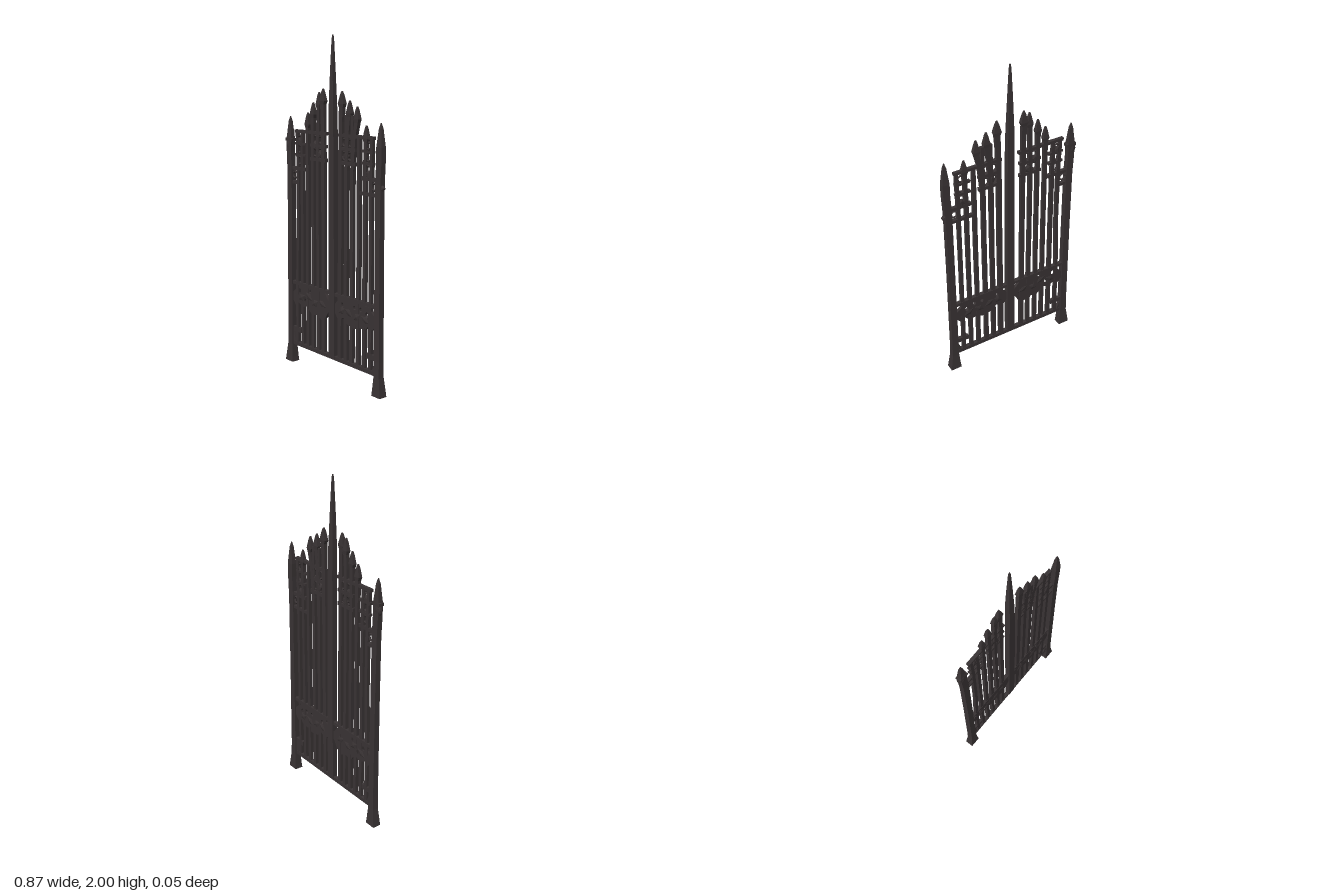
import * as THREE from 'three';

const iron = new THREE.MeshStandardMaterial({ color: 0x393334, flatShading: true });
iron.name = 'dark iron';

// Square-section loft; each row is [y, centreX, halfWidth, halfDepth]
function loft(rows) {
  const pos = [], idx = [], n = rows.length;
  for (const [y, x, w, d] of rows) pos.push(x - w, y, d, x + w, y, d, x + w, y, -d, x - w, y, -d);
  for (let r = 0; r < n - 1; r++) {
    for (let i = 0; i < 4; i++) {
      const a = r * 4 + i, b = r * 4 + (i + 1) % 4;
      idx.push(a, b, b + 4, a, b + 4, a + 4);
    }
  }
  const t = (n - 1) * 4;
  idx.push(0, 2, 1, 0, 3, 2, t, t + 1, t + 2, t, t + 2, t + 3);
  const g = new THREE.BufferGeometry();
  g.setAttribute('position', new THREE.Float32BufferAttribute(pos, 3));
  g.setIndex(idx);
  g.computeVertexNormals();
  return g;
}

export function createModel() {
  const gate = new THREE.Group();
  gate.name = 'gate';
  const add = (name, geo, x = 0, y = 0, z = 0) => {
    const m = new THREE.Mesh(geo, iron);
    m.name = name;
    m.position.set(x, y, z);
    gate.add(m);
    return m;
  };
  const rail = (name, x0, x1, y, h, d = 0.02) =>
    add(name, new THREE.BoxGeometry(x1 - x0, h, d), (x0 + x1) / 2, y);

  // Outer posts with flared feet and spear tips
  for (const s of [-1, 1]) {
    add('outerPost', loft([
      [0, s * 0.4, 0.035, 0.026], [0.03, s * 0.4, 0.031, 0.024], [0.11, s * 0.397, 0.022, 0.019],
      [0.2, s * 0.396, 0.021, 0.018], [0.8, s * 0.394, 0.02, 0.017], [1.2, s * 0.394, 0.021, 0.016],
      [1.32, s * 0.4, 0.021, 0.016], [1.4, s * 0.4, 0.021, 0.016], [1.43, s * 0.4, 0.018, 0.013],
      [1.5, s * 0.4, 0.01, 0.008], [1.53, s * 0.4, 0.002, 0.002]]));
  }
  add('hingeKnob', new THREE.IcosahedronGeometry(0.03, 1), -0.408, 1.36).scale.set(0.9, 1.3, 0.65);
  rail('hingeCap', -0.43, -0.37, 1.39, 0.018, 0.034);
  add('hingeKnob', new THREE.IcosahedronGeometry(0.018, 0), 0.416, 1.18).scale.z = 0.8;

  // Tall central spire
  add('centrePost', loft([
    [0.12, 0, 0.026, 0.016], [0.8, 0.001, 0.025, 0.017], [1.45, 0, 0.021, 0.017],
    [1.6, -0.002, 0.019, 0.016], [1.8, -0.003, 0.012, 0.011], [1.97, -0.003, 0.006, 0.005],
    [2, -0.003, 0.003, 0.003]]));

  // Upright bars: [bottomX, middleX, topX, halfWidth, topY, spear tip]
  const bars = [
    [-0.335, -0.322, -0.33, 0.011, 1.45, 0], [-0.283, -0.281, -0.283, 0.012, 1.45, 0],
    [-0.232, -0.23, -0.23, 0.012, 1.56, 1], [-0.182, -0.18, -0.18, 0.012, 1.62, 1],
    [-0.13, -0.133, -0.125, 0.012, 1.68, 1], [-0.082, -0.083, -0.089, 0.014, 1.7, 1],
    [0.066, 0.07, 0.079, 0.015, 1.69, 1], [0.118, 0.121, 0.145, 0.013, 1.64, 1],
    [0.17, 0.172, 0.208, 0.013, 1.61, 1], [0.226, 0.228, 0.228, 0.012, 1.45, 0],
    [0.278, 0.279, 0.284, 0.012, 1.51, 1], [0.33, 0.329, 0.334, 0.011, 1.45, 0]];
  for (const [xb, xm, xt, w, top, spear] of bars) {
    const rows = [[0.12, xb, w, 0.01], [0.5, xb, w, 0.01], [0.85, xm, w, 0.01],
      [1.25, xm, w, 0.01]];
    if (spear) {
      rows.push([top - 0.17, xm * 0.5 + xt * 0.5, w, 0.01], [top - 0.09, xt, w * 1.1, 0.011],
        [top - 0.07, xt, w * 1.6, 0.013], [top - 0.02, xt, w * 0.7, 0.008], [top, xt, 0.004, 0.003]);
    } else rows.push([top, xt, w * 0.8, 0.01]);
    add('uprightBar', loft(rows));
  }
  // Straight companion of the bars that lean toward their tips
  for (const [x, top] of [[0.121, 1.56], [0.172, 1.56]])
    add('innerBar', loft([[1.2, x, 0.012, 0.009], [top, x, 0.01, 0.009]]));

  // Long rails
  rail('bottomRail', -0.4, 0.4, 0.125, 0.024, 0.024);
  rail('middleRail', -0.39, 0.39, 0.512, 0.02, 0.024);

  for (const s of [-1, 1]) {
    const span = (name, a, b, y, h) => rail(name, Math.min(s * a, s * b), Math.max(s * a, s * b), y, h);
    span('topRail', 0.055, 0.348, 1.445, 0.018);
    span('upperRail', 0.06, 0.2, 1.37, 0.018);
    span('upperRail', 0.06, 0.2, 1.29, 0.02);
    span('sideRail', 0.25, 0.4, 1.22, 0.02);
    span('sideRail', s < 0 ? 0.32 : 0.22, 0.4, 1.135, 0.018);
    span('lowerBracket', 0.3, 0.39, 0.215, 0.03);
    // Tapered gusset where the bottom rail meets the post
    add('cornerGusset', loft([[0.13, s * 0.37, 0.022, 0.01], [0.2, s * 0.379, 0.006, 0.009]]));
    // Curled ornaments between the upper bars
    for (const [x, y, r] of [[0.105, 1.405, 0.022], [0.155, 1.405, 0.022], [0.11, 1.33, 0.026],
      [0.155, 1.33, 0.024], [0.305, 1.4, 0.02], [0.305, 1.34, 0.024], [0.305, 1.27, 0.022],
      [0.355, 1.18, 0.02]])
      add('curl', new THREE.TorusGeometry(r, 0.007, 4, 8), s * x, y);
    for (const y of [1.37, 1.305]) span('curlTie', 0.25, 0.345, y, 0.014);
  }
  for (const [x, y] of [[-0.125, 1.32], [-0.16, 1.37], [0.12, 1.33], [-0.31, 1.38], [0.31, 1.24]])
    add('leafBoss', new THREE.IcosahedronGeometry(0.03, 0), x, y).scale.set(0.9, 1.1, 0.45);

  // Pierced scrollwork panels under the middle rail
  const panel = (outline, holes) => {
    const shape = new THREE.Shape(outline.map(p => new THREE.Vector2(...p)));
    for (const [x, y, rx, ry] of holes) {
      const h = new THREE.Path();
      h.absellipse(x, y, rx, ry, 0, Math.PI * 2, true);
      shape.holes.push(h);
    }
    const g = new THREE.ExtrudeGeometry(shape, { depth: 0.018, bevelEnabled: false, curveSegments: 4 });
    add('scrollPanel', g, 0, 0, -0.009);
  };
  panel([[-0.385, 0.44], [-0.35, 0.47], [-0.34, 0.5], [-0.07, 0.505], [-0.03, 0.46], [0, 0.445],
    [0, 0.415], [-0.03, 0.4], [-0.06, 0.35], [-0.1, 0.33], [-0.14, 0.35], [-0.19, 0.34], [-0.235, 0.385],
    [-0.28, 0.37], [-0.32, 0.39], [-0.35, 0.37], [-0.385, 0.41]],
  [[-0.308, 0.47, 0.012, 0.014], [-0.257, 0.425, 0.01, 0.014], [-0.206, 0.485, 0.01, 0.01]]);
  panel([[0, 0.415], [0.03, 0.4], [0.06, 0.36], [0.1, 0.39], [0.14, 0.355], [0.2, 0.345], [0.24, 0.36],
    [0.29, 0.36], [0.32, 0.39], [0.35, 0.37], [0.385, 0.41], [0.385, 0.44], [0.35, 0.47], [0.32, 0.5],
    [0.07, 0.505], [0.03, 0.46], [0, 0.445]],
  [[0.094, 0.465, 0.01, 0.016], [0.2, 0.47, 0.011, 0.012], [0.252, 0.47, 0.011, 0.014],
    [0.304, 0.45, 0.012, 0.018]]);

  // Raised leaves on both faces of the panels
  for (const [x, y, tilt] of [[-0.29, 0.43, 0.5], [-0.22, 0.45, -0.6], [-0.16, 0.42, 0.5],
    [-0.09, 0.43, -0.4], [0.09, 0.43, 0.5], [0.15, 0.43, -0.5], [0.22, 0.42, 0.6], [0.29, 0.42, -0.5]]) {
    const leaf = add('leaf', new THREE.OctahedronGeometry(0.045, 1), x, y);
    leaf.scale.set(1, 0.6, 0.34);
    leaf.rotation.z = tilt;
  }
  return gate;
}
